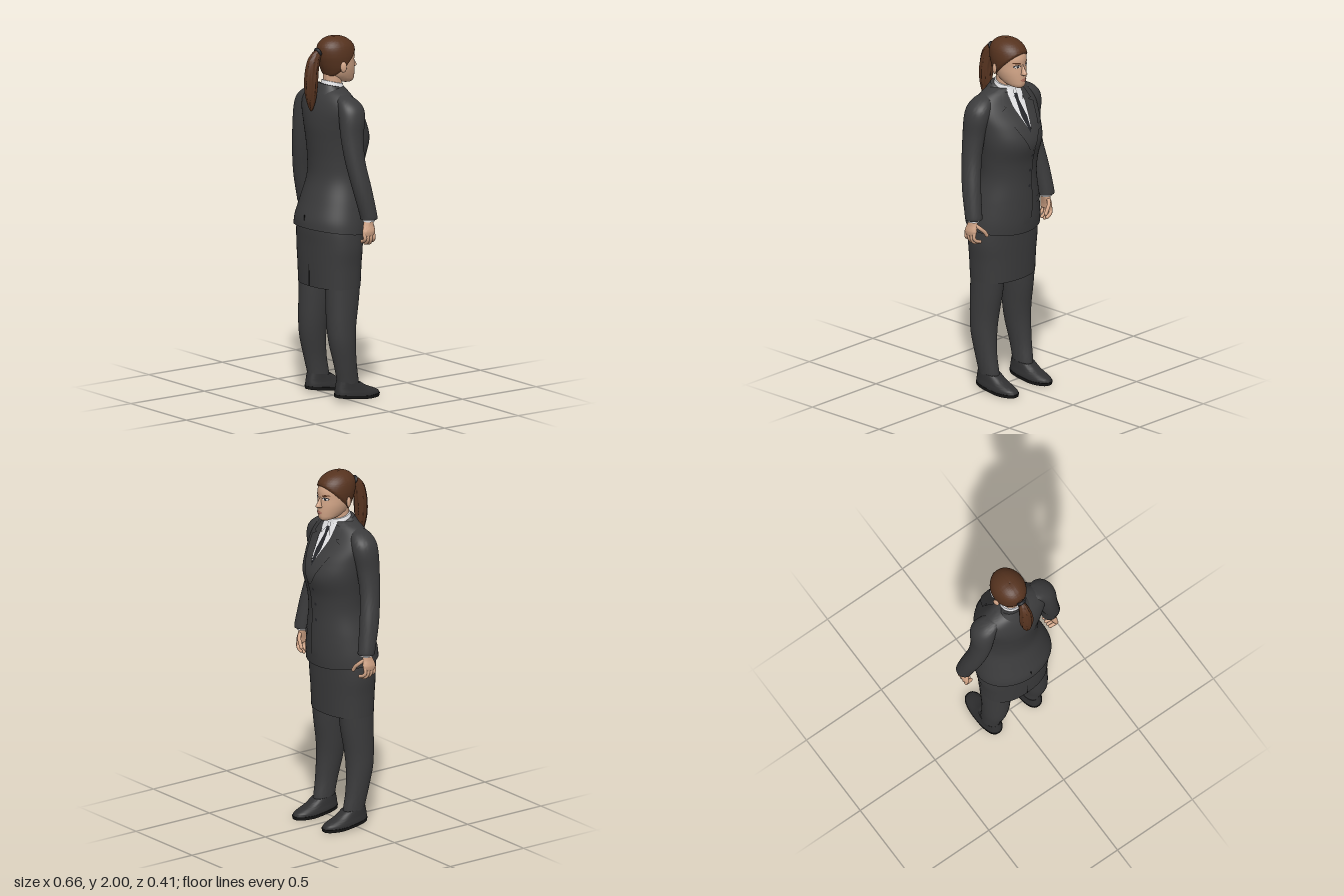
import * as THREE from 'three';
import { toCreasedNormals } from 'three/addons/utils/BufferGeometryUtils.js';

const mat = (name, color) => Object.assign(new THREE.MeshStandardMaterial({ color }), { name });
const M = {
  suit: mat('suit charcoal', 0x3b3b3c), skin: mat('skin', 0xd2a587), hair: mat('brown hair', 0x56331f),
  shirt: mat('white shirt', 0xeeeef0), dark: mat('tie and iris dark', 0x26272b), shoe: mat('shoe', 0x303031),
  sole: mat('sole', 0x171717), lips: mat('lips', 0xb0705f), eye: mat('eye white', 0xe4e0dc),
};

// Sections are [y, halfWidth, zFront, zBack, centreX], listed upwards.
const pad = (s) => s.map((r) => [r[0], r[1], r[2], r[3], r[4] || 0]);

// Smooth interpolation between sections, t in 0..1
function sample(S, t) {
  const f = t * (S.length - 1), i = Math.min(Math.floor(f), S.length - 2), u = f - i;
  const at = (k) => S[Math.max(0, Math.min(S.length - 1, k))];
  return S[0].map((_, c) => {
    const p0 = at(i - 1)[c], p1 = at(i)[c], p2 = at(i + 1)[c], p3 = at(i + 2)[c];
    const m1 = (p2 - p0) / 2, m2 = (p3 - p1) / 2, u2 = u * u, u3 = u2 * u;
    return (2 * u3 - 3 * u2 + 1) * p1 + (u3 - 2 * u2 + u) * m1 + (3 * u2 - 2 * u3) * p2 + (u3 - u2) * m2;
  });
}

// Closed body through superelliptic sections; warp can move each point
function loft(sections, { n = 2, seg = 40, steps = 5, warp } = {}) {
  const S = pad(sections), rows = (S.length - 1) * steps, pos = [], idx = [];
  for (let i = 0; i <= rows; i++) {
    const [y, rx, zf, zb, cx] = sample(S, i / rows);
    for (let j = 0; j < seg; j++) {
      const a = (j / seg) * Math.PI * 2, c = Math.cos(a), s = Math.sin(a);
      const p = new THREE.Vector3(
        cx + rx * Math.sign(c) * Math.abs(c) ** (2 / n), y,
        (zf + zb) / 2 + ((zb - zf) / 2) * Math.sign(s) * Math.abs(s) ** (2 / n));
      if (warp) warp(p, a, cx, (zf + zb) / 2);
      pos.push(p.x, p.y, p.z);
    }
  }
  for (let i = 0; i < rows; i++) for (let j = 0; j < seg; j++) {
    const a = i * seg + j, b = i * seg + (j + 1) % seg, c = a + seg, d = b + seg;
    idx.push(a, c, b, b, c, d);
  }
  [0, rows].forEach((r) => {
    const s = S[r ? S.length - 1 : 0], k = pos.length / 3;
    pos.push(s[4], s[0], (s[2] + s[3]) / 2);
    for (let j = 0; j < seg; j++) {
      const a = r * seg + j, b = r * seg + (j + 1) % seg;
      idx.push(k, ...(r ? [b, a] : [a, b]));
    }
  });
  const g = new THREE.BufferGeometry();
  g.setAttribute('position', new THREE.Float32BufferAttribute(pos, 3));
  g.setIndex(idx);
  return toCreasedNormals(g, 0.9);
}

// Front (-z) surface of a lofted body at x, y
function frontZ(S, n, x, y) {
  let lo = 0, hi = 1;
  for (let k = 0; k < 24; k++) { const m = (lo + hi) / 2; if (sample(S, m)[0] < y) lo = m; else hi = m; }
  const [, rx, zf, zb] = sample(S, lo), u = Math.min(0.98, Math.abs(x / rx));
  return (zf + zb) / 2 - ((zb - zf) / 2) * (1 - u ** n) ** (1 / n);
}

// Thin patch lying on a body front; rows are [y, x0, x1] listed downwards
function plate(body, rows, off, cols = 8, sub = 6) {
  const S = pad(body), pos = [], idx = [], R = (rows.length - 1) * sub;
  for (let i = 0; i <= R; i++) {
    const k = Math.min(Math.floor(i / sub), rows.length - 2), u = i / sub - k;
    const [y, x0, x1] = rows[k].map((v, c) => v + (rows[k + 1][c] - v) * u);
    for (let j = 0; j <= cols; j++) {
      const x = x0 + (x1 - x0) * j / cols;
      pos.push(x, y, frontZ(S, 2, x, y) - off);
    }
  }
  for (let i = 0; i < R; i++) for (let j = 0; j < cols; j++) {
    const a = i * (cols + 1) + j, c = a + cols + 1;
    idx.push(a, a + 1, c, a + 1, c + 1, c);
  }
  const g = new THREE.BufferGeometry();
  g.setAttribute('position', new THREE.Float32BufferAttribute(pos, 3));
  g.setIndex(idx);
  g.computeVertexNormals();
  return g;
}
const flip = (rows) => rows.map(([y, a, b]) => [y, -b, -a]);
// Almond or disc outline as plate rows
const oval = (x, y, w, h) => [1, 0.9, 0.6, 0, -0.6, -0.9, -1].map((t) => {
  const k = w * Math.sqrt(1 - t * t);
  return [y + h * t, x - k, x + k];
});

const TORSO = [[0.94, 0.226, -0.152, 0.203], [1.0, 0.22, -0.158, 0.198], [1.1, 0.198, -0.158, 0.17],
  [1.22, 0.17, -0.156, 0.135], [1.32, 0.172, -0.166, 0.13], [1.43, 0.188, -0.192, 0.138], [1.52, 0.2, -0.165, 0.145],
  [1.6, 0.212, -0.115, 0.14], [1.66, 0.195, -0.077, 0.125], [1.7, 0.145, -0.056, 0.105], [1.725, 0.085, -0.045, 0.085]];
const HEAD = [[1.738, 0.022, -0.115, -0.06], [1.752, 0.045, -0.127, -0.01], [1.785, 0.064, -0.13, 0.045],
  [1.825, 0.077, -0.128, 0.066], [1.865, 0.083, -0.124, 0.08], [1.905, 0.085, -0.124, 0.089],
  [1.945, 0.078, -0.11, 0.087], [1.972, 0.06, -0.082, 0.068], [1.988, 0.035, -0.047, 0.04], [1.993, 0.008, -0.012, 0.01]];

export function createModel() {
  const root = new THREE.Group();
  const add = (name, g, m) => { const o = new THREE.Mesh(g, m); o.name = name; root.add(o); return o; };
  const tube = (name, pts, r, m) => {
    const v = pts.map((p) => new THREE.Vector3(...p));
    add(name, new THREE.TubeGeometry(new THREE.CatmullRomCurve3(v), 10, r, 8), m);
    add(name + 'Tip', new THREE.SphereGeometry(r, 8, 6), m).position.copy(v[v.length - 1]);
  };

  // Jacket, with the hem dipping towards the front
  add('jacket', loft(TORSO, { seg: 56, warp: (p) => {
    if (p.y < 1.1) p.y += ((1.1 - p.y) / 0.16) * (p.z - 0.06) * 0.14;
  } }), M.suit);
  add('jacketFrontEdge', plate(TORSO, [[1.4, -0.03, 0.03], [1.3, -0.035, 0.03], [1.05, -0.04, 0.03], [0.96, -0.02, 0.03]], 0.005), M.suit);
  add('breastPocket', plate(TORSO, [[1.52, -0.125, -0.075], [1.49, -0.12, -0.07]], 0.006), M.suit);
  for (const y of [1.36, 1.27, 1.18]) add('button', plate(TORSO, oval(-0.012, y, 0.009, 0.009), 0.008), M.dark);
  add('jacketVent', new THREE.BoxGeometry(0.004, 0.07, 0.008), M.sole).position.set(0, 0.995, 0.196);

  // Shirt, tie and collar
  add('shirtFront', plate(TORSO, [[1.72, -0.045, 0.045], [1.64, -0.052, 0.052], [1.55, -0.026, 0.026], [1.49, -0.002, 0.002]], 0.004), M.shirt);
  add('tieKnot', plate(TORSO, [[1.695, -0.016, 0.016], [1.66, -0.01, 0.01]], 0.009), M.dark);
  add('tie', plate(TORSO, [[1.66, -0.01, 0.01], [1.58, -0.02, 0.02], [1.49, -0.004, 0.004]], 0.007), M.dark);
  const tilt = (p) => { p.y += (p.z - 0.03) * 0.25; };
  add('shirtCollar', loft([[1.69, 0.07, -0.062, 0.08], [1.73, 0.062, -0.056, 0.072], [1.755, 0.056, -0.05, 0.066]], { warp: tilt }), M.shirt);
  add('jacketCollar', loft([[1.68, 0.115, -0.03, 0.11], [1.715, 0.088, -0.025, 0.094], [1.735, 0.072, -0.015, 0.084]], { warp: tilt }), M.suit);

  // Skirt
  add('skirt', loft([[0.63, 0.2, -0.108, 0.163], [0.75, 0.206, -0.112, 0.167], [0.86, 0.217, -0.115, 0.168],
    [0.97, 0.21, -0.115, 0.168], [1.05, 0.18, -0.1, 0.14]], { n: 2.3, seg: 48 }), M.suit);
  add('skirtVent', new THREE.BoxGeometry(0.004, 0.17, 0.006), M.sole).position.set(0, 0.718, 0.164);

  // Head, hair and ponytail
  add('neck', loft([[1.66, 0.055, -0.045, 0.065], [1.73, 0.048, -0.045, 0.058], [1.81, 0.05, -0.045, 0.062]]), M.skin);
  add('head', loft(HEAD), M.skin);
  add('hair', loft(HEAD, { seg: 72, steps: 10, warp: (p, a, cx, cz) => {
    const line = p.z + 0.123 - (1.938 - p.y);
    const t = 0.008 * THREE.MathUtils.clamp(line / 0.012, -1, 1);
    const d = new THREE.Vector3(p.x, Math.max(0, p.y - 1.9), p.z - cz).normalize();
    p.addScaledVector(d, t);
  } }), M.hair);
  add('ponytail', loft([[1.605, 0.006, 0.143, 0.158], [1.65, 0.02, 0.128, 0.175], [1.72, 0.033, 0.118, 0.187], [1.8, 0.036, 0.114, 0.187],
    [1.88, 0.028, 0.1, 0.172], [1.925, 0.016, 0.078, 0.14], [1.938, 0.008, 0.08, 0.115]], { seg: 54, warp: (p, a, cx, cz) => {
    const k = 1 + 0.07 * Math.sin(9 * a + p.y * 12);
    p.x *= k; p.z = cz + (p.z - cz) * k;
  } }), M.hair);
  const tie = add('hairTie', new THREE.TorusGeometry(0.017, 0.009, 10, 20), M.dark);
  tie.position.set(0, 1.925, 0.105);
  tie.rotation.x = 0.5;

  // Face
  add('nose', loft([[1.812, 0.008, -0.135, -0.11], [1.819, 0.017, -0.152, -0.1], [1.83, 0.013, -0.153, -0.1],
    [1.85, 0.009, -0.139, -0.1], [1.875, 0.007, -0.124, -0.1]], { seg: 20 }), M.skin);
  add('upperLip', plate(HEAD, [[1.795, -0.008, 0.008], [1.788, -0.025, 0.025]], 0.004), M.lips);
  add('lowerLip', plate(HEAD, [[1.788, -0.025, 0.025], [1.778, -0.01, 0.01]], 0.005), M.lips);

  for (const s of [1, -1]) {
    const m = (rows) => (s > 0 ? rows : flip(rows));
    const sx = (sections) => pad(sections).map((r) => [...r.slice(0, 4), r[4] * s]);
    add('lashes', plate(HEAD, m(oval(0.035, 1.868, 0.019, 0.009)), 0.002), M.dark);
    add('eye', plate(HEAD, m(oval(0.035, 1.866, 0.015, 0.006)), 0.003), M.eye);
    add('iris', plate(HEAD, m(oval(0.034, 1.866, 0.006, 0.006)), 0.004), M.dark);
    add('eyebrow', plate(HEAD, m([[1.892, 0.035, 0.052], [1.887, 0.02, 0.06], [1.88, 0.014, 0.026]]), 0.003), M.hair);
    const ear = add('ear', new THREE.SphereGeometry(1, 16, 12), M.skin);
    ear.scale.set(0.01, 0.03, 0.018);
    ear.position.set(s * 0.092, 1.843, 0.0);
    ear.rotation.y = s * -0.4;

    // Lapels and collar points
    add('collarPoint', plate(TORSO, m([[1.718, 0.008, 0.05], [1.69, 0.012, 0.052], [1.655, 0.034, 0.04]]), 0.011), M.shirt);
    add('upperLapel', plate(TORSO, m([[1.71, 0.05, 0.085], [1.645, 0.048, 0.112]]), 0.009), M.suit);
    add('lapel', plate(TORSO, m([[1.645, 0.048, 0.085], [1.625, 0.045, 0.122], [1.55, 0.02, 0.095], [1.49, 0, 0.065], [1.39, -0.012, 0.012]]), 0.009), M.suit);
    add('pocketFlap', plate(TORSO, m([[1.1, 0.08, 0.155], [1.065, 0.08, 0.16]]), 0.005), M.suit);

    // Arm and hand
    add('sleeve', loft(sx([[1.03, 0.046, -0.073, 0.02, 0.283], [1.06, 0.047, -0.071, 0.026, 0.282], [1.2, 0.049, -0.048, 0.062, 0.266],
      [1.35, 0.051, -0.025, 0.09, 0.238], [1.48, 0.055, -0.03, 0.103, 0.217], [1.58, 0.064, -0.048, 0.103, 0.204],
      [1.64, 0.062, -0.045, 0.096, 0.188], [1.68, 0.05, -0.022, 0.08, 0.155], [1.7, 0.02, 0.01, 0.055, 0.13]])), M.suit);
    add('shirtCuff', loft(sx([[1.018, 0.033, -0.06, 0.008, 0.283], [1.04, 0.035, -0.062, 0.01, 0.283]])), M.shirt);
    add('palm', loft(sx([[0.94, 0.014, -0.052, 0.024, 0.296], [0.965, 0.018, -0.058, 0.024, 0.296], [1.0, 0.02, -0.052, 0.012, 0.288],
      [1.03, 0.024, -0.048, 0, 0.283]]), { seg: 24 }), M.skin);
    for (let i = 0; i < 4; i++) {
      const z = -0.045 + i * 0.02, e = [0.01, 0, 0.003, 0.014][i];
      tube('finger', [[s * 0.297, 0.96, z], [s * 0.301, 0.925, z - 0.002], [s * 0.288, 0.9 + e, z - 0.006], [s * 0.264, 0.892 + e, z - 0.01]], 0.0098, M.skin);
    }
    tube('thumb', [[s * 0.288, 1.0, -0.04], [s * 0.268, 0.978, -0.064], [s * 0.245, 0.955, -0.074], [s * 0.232, 0.935, -0.076]], 0.0105, M.skin);

    // Leg and shoe
    add('leg', loft(sx([[0.06, 0.046, -0.06, 0.068, 0.132], [0.1, 0.046, -0.062, 0.068, 0.133], [0.2, 0.053, -0.045, 0.09, 0.136],
      [0.32, 0.066, -0.037, 0.118, 0.133], [0.42, 0.073, -0.043, 0.128, 0.127], [0.55, 0.079, -0.064, 0.13, 0.121], [0.68, 0.082, -0.08, 0.13, 0.117]])), M.suit);
    const pitch = (p) => { p.y += Math.max(0, p.z + 0.1) * 0.12; };
    add('sole', loft(sx([[0, 0.056, -0.2, 0.083, 0.132], [0.018, 0.059, -0.205, 0.085, 0.132]]), { n: 2.5, steps: 2, warp: pitch }), M.sole);
    add('shoe', loft(sx([[0.017, 0.057, -0.202, 0.083, 0.132], [0.032, 0.056, -0.195, 0.082, 0.132], [0.048, 0.052, -0.165, 0.08, 0.132],
      [0.066, 0.049, -0.12, 0.076, 0.132], [0.09, 0.046, -0.075, 0.07, 0.132]]), { n: 2.4, warp: pitch }), M.shoe);
  }
  return root;
}
